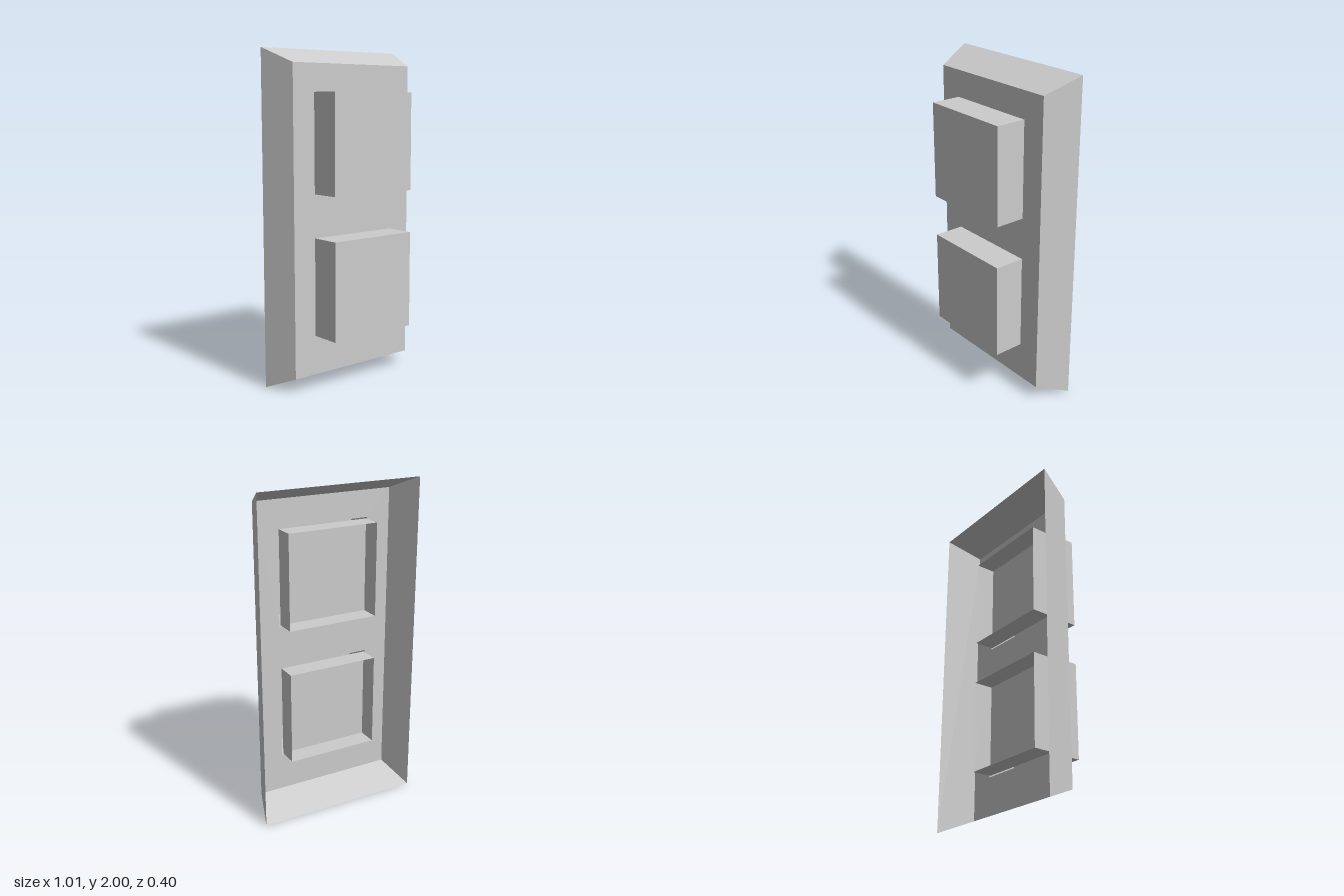
import * as THREE from 'three';

const material = new THREE.MeshStandardMaterial({ color: 0xcccccc, flatShading: true, side: THREE.DoubleSide });
const PANEL_Z = 0.013, BACK_Z = -0.2, FRONT_Z = 0.2;
const PAD_HALF = 0.292, SOCKET_HALF = 0.284, SOCKET_BACK_Z = -0.11;
const PAD_CENTRES = [0.616, 1.457];

function addMesh(parent, name, geometry) {
  const mesh = new THREE.Mesh(geometry, material);
  mesh.name = name;
  parent.add(mesh);
  return mesh;
}

// Four walls joining a back rectangle to a front one, open at both ends
function wallsGeometry(back, front) {
  const corners = ({ w, h, z }) => [[-w, -h, z], [w, -h, z], [w, h, z], [-w, h, z]];
  const b = corners(back), f = corners(front), positions = [];
  for (let i = 0; i < 4; i++) {
    const j = (i + 1) % 4;
    positions.push(...b[i], ...b[j], ...f[j], ...b[i], ...f[j], ...f[i]);
  }
  const geometry = new THREE.BufferGeometry();
  geometry.setAttribute('position', new THREE.Float32BufferAttribute(positions, 3));
  geometry.computeVertexNormals();
  return geometry;
}

// Square box with a flat front and an open back
function addOpenBox(parent, name, half, backZ, frontZ) {
  const box = new THREE.Group();
  box.name = name;
  addMesh(box, name + 'Walls', wallsGeometry({ w: half, h: half, z: backZ }, { w: half, h: half, z: frontZ }));
  addMesh(box, name + 'Face', new THREE.PlaneGeometry(half * 2, half * 2)).position.z = frontZ;
  parent.add(box);
}

function rectangle(path, x, y, w, h) {
  path.moveTo(x - w, y - h);
  path.lineTo(x + w, y - h);
  path.lineTo(x + w, y + h);
  path.lineTo(x - w, y + h);
  path.closePath();
  return path;
}

export function createModel() {
  const model = new THREE.Group();
  model.name = 'switchPlate';

  // Sloping rim of the housing, open at the back
  addMesh(model, 'bevelledRim', wallsGeometry(
    { w: 0.507, h: 1, z: BACK_Z }, { w: 0.44, h: 0.911, z: PANEL_Z })).position.y = 1;

  // Front panel with a square opening behind each button
  const panel = rectangle(new THREE.Shape(), 0, 1, 0.44, 0.911);
  for (const y of PAD_CENTRES) panel.holes.push(rectangle(new THREE.Path(), 0, y, PAD_HALF, PAD_HALF));
  addMesh(model, 'frontPanel', new THREE.ShapeGeometry(panel)).position.z = PANEL_Z;

  // Raised square buttons, each with a socket reaching out behind the panel
  PAD_CENTRES.forEach((y, i) => {
    const button = new THREE.Group();
    button.name = i === 0 ? 'lowerButton' : 'upperButton';
    button.position.y = y;
    addOpenBox(button, 'buttonCap', PAD_HALF, PANEL_Z, FRONT_Z);
    addOpenBox(button, 'rearSocket', SOCKET_HALF, SOCKET_BACK_Z, PANEL_Z);
    model.add(button);
  });

  return model;
}
